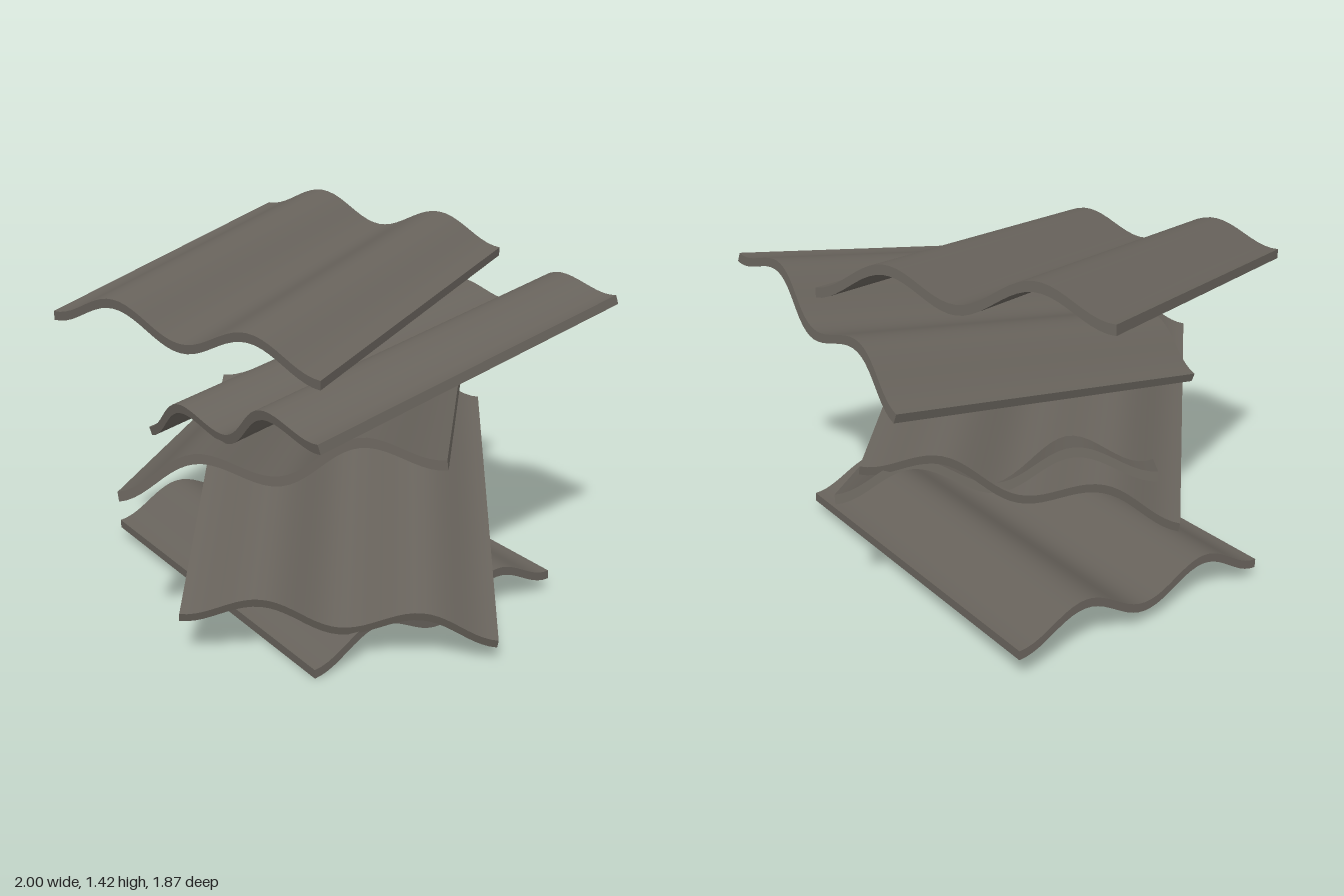
import * as THREE from 'three';

const WIDTH = 1.13, LENGTH = 1.45, THICK = 0.035, WAVE = 0.105;

// One sheet with two corrugations across its width
function corrugatedSheet() {
  const geo = new THREE.BoxGeometry(WIDTH, THICK, LENGTH, 40, 1, 1);
  const pos = geo.attributes.position;
  for (let i = 0; i < pos.count; i++) {
    const u = pos.getX(i) / WIDTH + 0.5;
    pos.setY(i, pos.getY(i) + WAVE / 2 * (1 - Math.cos(4 * Math.PI * u)));
  }
  geo.computeVertexNormals();
  return geo;
}

// Scattered pile, bottom to top: centre, direction across the waves, direction along them
const SHEETS = [
  ['bottomSheet', [-0.09, 0.074, -0.07], [0.61, 0.055, -0.95], [1.22, -0.05, 0.785]],
  ['secondSheet', [0.03, 0.355, 0.01], [1.05, -0.1, -0.39], [0.445, -0.45, 1.31]],
  ['middleSheet', [-0.095, 0.63, 0.07], [1.08, 0.16, -0.29], [0.35, 0.17, 1.39]],
  ['fourthSheet', [0.175, 0.915, 0.02], [0.93, 0.255, 0.59], [-0.7, -0.255, 1.23]],
  ['topSheet', [-0.23, 1.19, -0.07], [1.11, -0.09, 0.172], [-0.23, -0.18, 1.41]],
];

export function createModel() {
  const group = new THREE.Group();
  group.name = 'corrugatedSheetPile';
  const material = new THREE.MeshStandardMaterial({ color: 0x67625b });
  material.name = 'weathered grey';
  const geo = corrugatedSheet();

  for (const [name, centre, across, along] of SHEETS) {
    const mesh = new THREE.Mesh(geo, material);
    mesh.name = name;
    // Square frame from the two directions
    const z = new THREE.Vector3(...along).normalize();
    const y = new THREE.Vector3().crossVectors(z, new THREE.Vector3(...across)).normalize();
    const x = new THREE.Vector3().crossVectors(y, z);
    mesh.quaternion.setFromRotationMatrix(new THREE.Matrix4().makeBasis(x, y, z));
    mesh.position.set(...centre);
    group.add(mesh);
  }
  return group;
}
